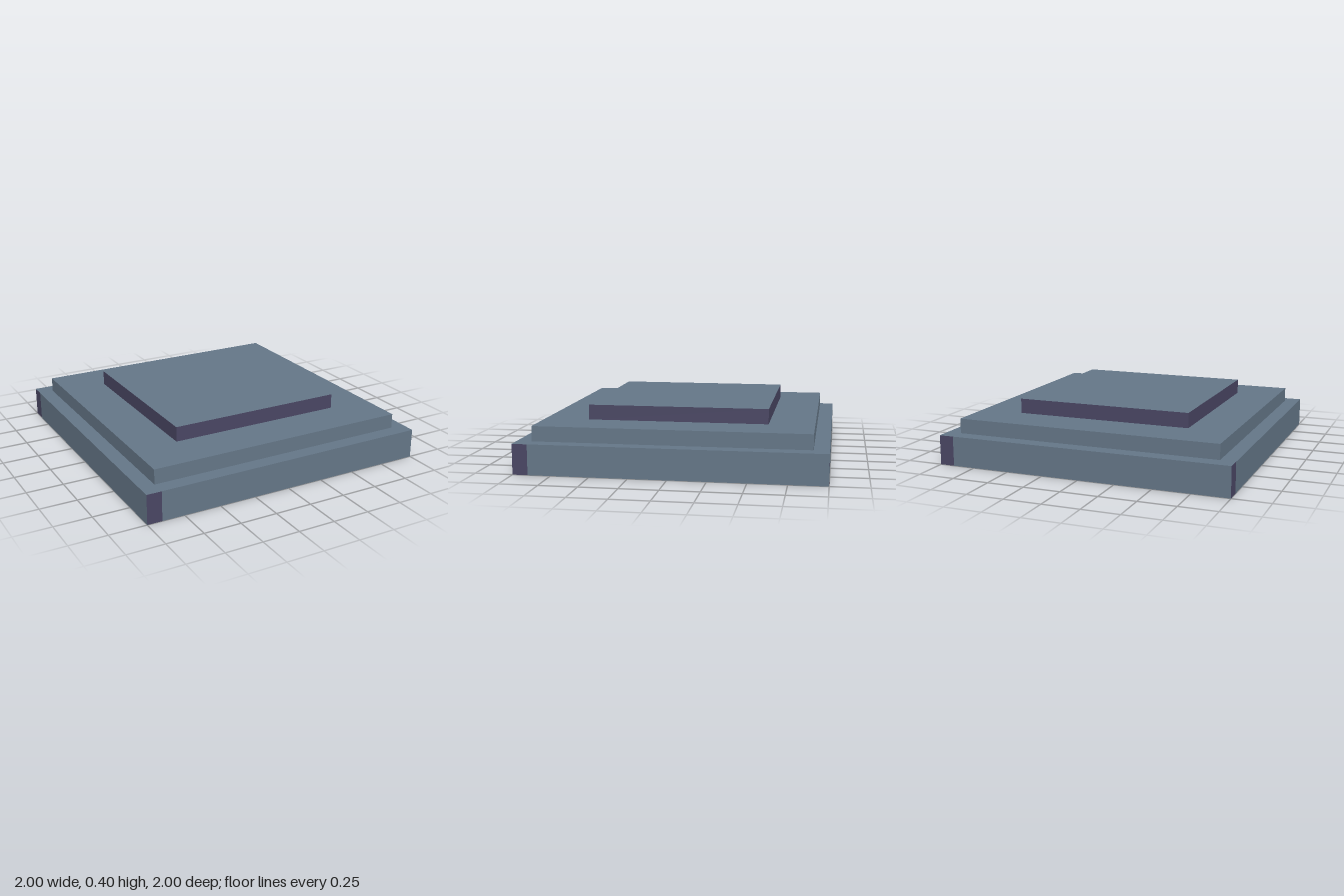
import * as THREE from 'three';

export function createModel() {
  const slate = new THREE.MeshStandardMaterial({ name: 'slate', color: 0x647687 });
  const darkPurple = new THREE.MeshStandardMaterial({ name: 'darkPurple', color: 0x494663 });

  const model = new THREE.Group();
  model.name = 'steppedPlatform';

  function add(parent, name, geometry, material, x, y, z) {
    const mesh = new THREE.Mesh(geometry, material);
    mesh.name = name;
    mesh.position.set(x, y, z);
    parent.add(mesh);
    return mesh;
  }

  // Base slab: light top, dark underside
  const base = new THREE.Group();
  base.name = 'baseSlab';
  model.add(base);
  const square = new THREE.PlaneGeometry(2, 2);
  add(base, 'baseTop', square, slate, 0, 0.2, 0).rotation.x = -Math.PI / 2;
  add(base, 'baseUnderside', square, darkPurple, 0, 0, 0).rotation.x = Math.PI / 2;

  // Four sides, each with a dark strip at its left end as seen from outside
  const panel = new THREE.PlaneGeometry(1.9, 0.2);
  const strip = new THREE.PlaneGeometry(0.1, 0.2);
  ['front', 'left', 'back', 'right'].forEach((name, i) => {
    const side = new THREE.Group();
    side.name = name + 'Side';
    side.rotation.y = (i * Math.PI) / 2;
    add(side, name + 'Panel', panel, slate, 0.05, 0.1, 1);
    add(side, name + 'CornerStrip', strip, darkPurple, -0.95, 0.1, 1);
    base.add(side);
  });

  // Middle step
  add(model, 'middleStep', new THREE.BoxGeometry(1.8, 0.1, 1.8), slate, 0, 0.25, 0);

  // Top step: dark sides and underside, light top (box faces: +x, -x, +y, -y, +z, -z)
  const topMaterials = [darkPurple, darkPurple, slate, darkPurple, darkPurple, darkPurple];
  add(model, 'topStep', new THREE.BoxGeometry(1.2, 0.1, 1.2), topMaterials, 0, 0.35, 0);

  return model;
}
